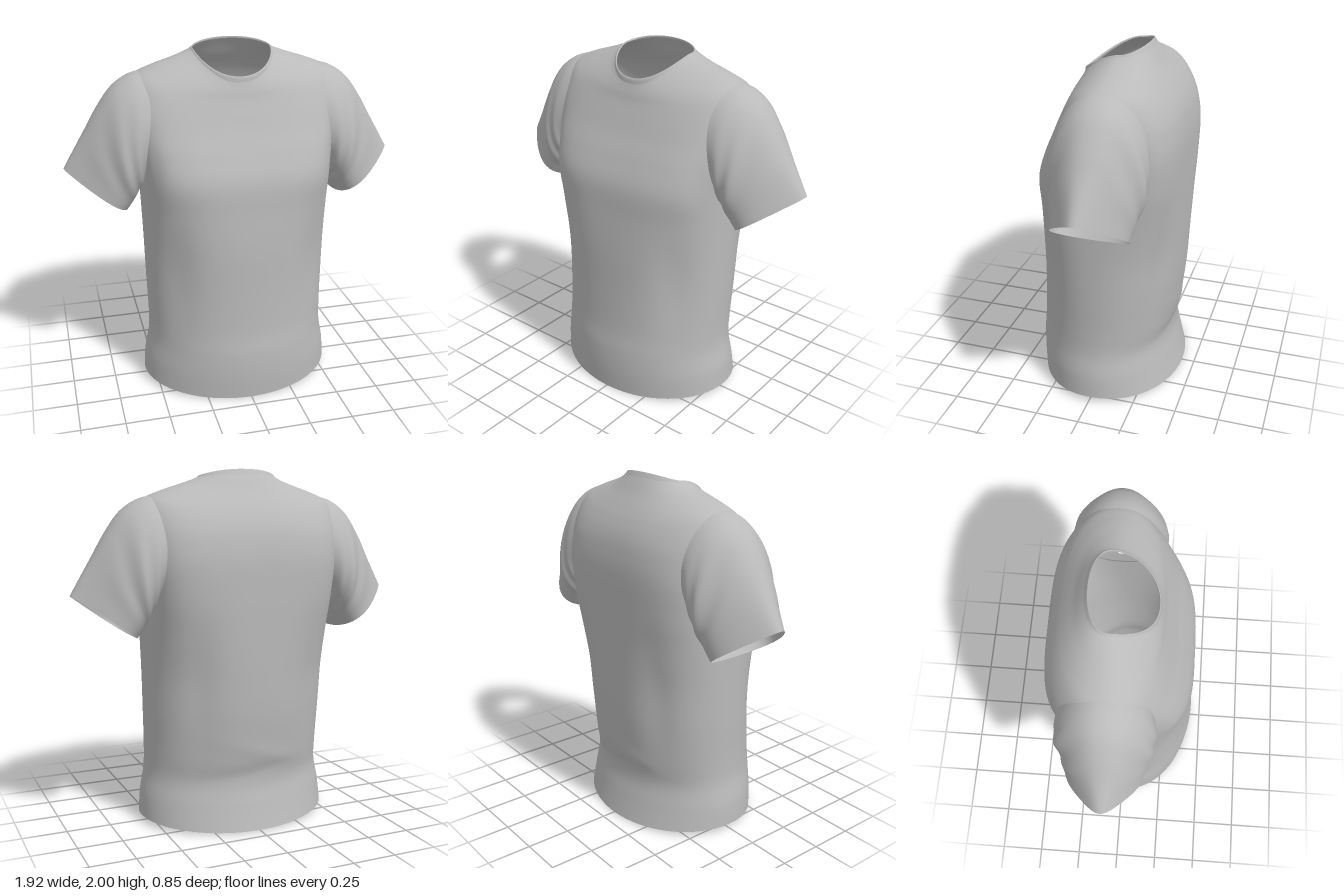
import * as THREE from 'three';

const fabric = new THREE.MeshStandardMaterial({ color: 0xbababa, side: THREE.DoubleSide });
fabric.name = 'greyFabric';

// Smoothly interpolate a row of a table of ring measurements, u from 0 to 1
function sampleRow(table, u) {
  const f = u * (table.length - 1);
  const i = Math.min(Math.floor(f), table.length - 2);
  const t = f - i;
  const row = (k) => table[Math.max(0, Math.min(table.length - 1, k))];
  const [a, b, c, d] = [row(i - 1), row(i), row(i + 1), row(i + 2)];
  return b.map((p, k) => {
    const m0 = (c[k] - a[k]) / 2, m1 = (d[k] - p) / 2;
    const t2 = t * t, t3 = t2 * t;
    return (2 * t3 - 3 * t2 + 1) * p + (t3 - 2 * t2 + t) * m0
      + (3 * t2 - 2 * t3) * c[k] + (t3 - t2) * m1;
  });
}

// Open tube through closed rings; point(u, angle) gives [x, y, z], inHole leaves faces out
function loft(name, rings, sides, point, { flip = false, inHole = () => false } = {}) {
  const pts = [], index = [];
  for (let j = 0; j <= rings; j++) {
    for (let i = 0; i < sides; i++) pts.push(point(j / rings, (i / sides) * Math.PI * 2));
  }
  for (let j = 0; j < rings; j++) {
    for (let i = 0; i < sides; i++) {
      const a = j * sides + i, b = j * sides + ((i + 1) % sides);
      const c = a + sides, d = b + sides;
      if ([a, b, c, d].every((k) => inHole(pts[k]))) continue;
      if (flip) index.push(a, b, c, b, d, c);
      else index.push(a, c, b, b, c, d);
    }
  }
  const geo = new THREE.BufferGeometry();
  geo.setAttribute('position', new THREE.Float32BufferAttribute(pts.flat(), 3));
  geo.setIndex(index);
  geo.computeVertexNormals();
  const mesh = new THREE.Mesh(geo, fabric);
  mesh.name = name;
  return mesh;
}

const spow = (v, p) => Math.sign(v) * Math.pow(Math.abs(v), p);
const bump = (v, centre, width) => Math.exp(-(((v - centre) / width) ** 2));

// Torso rings: half width, side y, side z, front y, front z, back y, back z, squareness
const BODY = [
  [0.565, 0.035, 0.0, 0.0, 0.42, 0.005, -0.425, 2.0],
  [0.555, 0.16, 0.0, 0.14, 0.428, 0.14, -0.39, 2.0],
  [0.53, 0.29, 0.0, 0.28, 0.425, 0.27, -0.364, 2.05],
  [0.525, 0.42, 0.0, 0.42, 0.41, 0.42, -0.385, 2.1],
  [0.53, 0.65, -0.01, 0.65, 0.402, 0.65, -0.41, 2.15],
  [0.533, 0.9, -0.02, 0.9, 0.398, 0.9, -0.42, 2.3],
  [0.535, 1.12, -0.04, 1.12, 0.385, 1.12, -0.424, 2.75],
  [0.538, 1.3, -0.06, 1.3, 0.37, 1.32, -0.426, 3.4],
  [0.552, 1.46, -0.07, 1.44, 0.32, 1.5, -0.424, 3.6],
  [0.565, 1.62, -0.07, 1.56, 0.265, 1.62, -0.408, 3.3],
  [0.568, 1.75, -0.07, 1.65, 0.228, 1.7, -0.385, 2.8],
  [0.54, 1.838, -0.07, 1.72, 0.2, 1.77, -0.35, 2.45],
  [0.45, 1.882, -0.07, 1.765, 0.186, 1.83, -0.31, 2.3],
  [0.34, 1.918, -0.07, 1.795, 0.175, 1.89, -0.265, 2.2],
  [0.26, 1.945, -0.075, 1.815, 0.168, 1.945, -0.228, 2.15],
  [0.222, 1.962, -0.08, 1.835, 0.163, 1.99, -0.195, 2.15],
];

// Point on a rounded ring whose front, back and sides sit at different heights
function ringPoint(row, a) {
  const [w, yS, zS, yF, zF, yB, zB, n] = row;
  const c = Math.cos(a), s = Math.sin(a), front = s >= 0;
  const r = Math.pow(Math.abs(c) ** n + Math.abs(s) ** n, -1 / n);
  const k = r * Math.abs(s);
  return [
    w * r * c,
    yS + ((front ? yF : yB) - yS) * Math.pow(k, 0.75 * n),
    zS + ((front ? zF : zB) - zS) * k,
  ];
}

// Torso with soft drape folds
function bodyPoint(u, a) {
  const p = ringPoint(sampleRow(BODY, u), a);
  const [x, y] = p;
  const sideX = Math.abs(x);
  if (Math.sin(a) > 0) {
    p[2] -= 0.02 * bump(sideX, 0.4, 0.09) * bump(y, 0.75, 0.3);
    p[2] -= 0.008 * bump(sideX, 0.49, 0.03) * bump(y, 1.38, 0.12);
  } else {
    p[2] += 0.015 * bump(sideX, 0.33, 0.08) * bump(y, 0.8, 0.35);
    p[2] += 0.005 * bump(y + 0.12 * x, 0.33, 0.04) * bump(x, 0.02, 0.25);
    p[2] -= 0.005 * bump(y - 0.3 * x, 0.45, 0.045) * bump(x, -0.05, 0.25);
  }
  return p;
}

// Armholes opening into the sleeves
const inArmhole = ([x, y, z]) => Math.abs(x) > 0.45
  && ((y - 1.575) / 0.255) ** 2 + ((z + 0.075) / 0.195) ** 2 < 1;

// Slim neckband rolled over at the rim
const COLLAR = [
  [0.232, 1.955, -0.08, 1.815, 0.17, 1.972, -0.209, 2.15],
  [0.224, 1.965, -0.08, 1.838, 0.167, 1.995, -0.195, 2.15],
  [0.219, 1.967, -0.08, 1.845, 0.161, 2.0, -0.19, 2.15],
  [0.216, 1.96, -0.08, 1.836, 0.157, 1.99, -0.19, 2.15],
];

// Sleeve rings: outer x, outer y, inner x, inner y, half depth, pinch toward outer edge
const SLEEVE = [
  [0.485, 1.86, 0.495, 1.31, 0.245, 0.15],
  [0.58, 1.836, 0.518, 1.27, 0.256, 0.18],
  [0.675, 1.772, 0.532, 1.23, 0.256, 0.24],
  [0.76, 1.66, 0.552, 1.195, 0.243, 0.3],
  [0.838, 1.53, 0.57, 1.16, 0.222, 0.38],
  [0.905, 1.42, 0.592, 1.125, 0.2, 0.48],
  [0.958, 1.33, 0.615, 1.092, 0.186, 0.55],
];

function sleevePoint(side, u, a) {
  const [ox, oy, ix, iy, hz, pinch] = sampleRow(SLEEVE, u);
  const c = Math.cos(a), s = Math.sin(a);
  const k = (1 + c) / 2;
  // Creases fan out of the armpit and fade toward the shoulder and cuff
  const fade = bump(u, 0.45, 0.25) * Math.pow(Math.abs(s), 0.7) * (1 - 0.6 * k);
  const phase = u * 20 + k * 8 + (s > 0 ? 0 : 1.5);
  const fold = 0.011 * fade * (Math.sin(phase) + 0.5 * Math.sin(phase * 0.57 + 1));
  return [
    side * (ix + (ox - ix) * k),
    iy + (oy - iy) * k,
    -0.075 + spow(s, 0.9) * (hz * (1 - pinch * c) + fold),
  ];
}

export function createModel() {
  const shirt = new THREE.Group();
  shirt.name = 'shirt';
  shirt.add(loft('torso', 120, 160, bodyPoint, { inHole: inArmhole }));
  shirt.add(loft('neckband', 12, 96, (u, a) => ringPoint(sampleRow(COLLAR, u), a)));
  for (const side of [1, -1]) {
    const name = side > 0 ? 'leftSleeve' : 'rightSleeve';
    shirt.add(loft(name, 60, 80, (u, a) => sleevePoint(side, u, a), { flip: side > 0 }));
  }
  return shirt;
}
